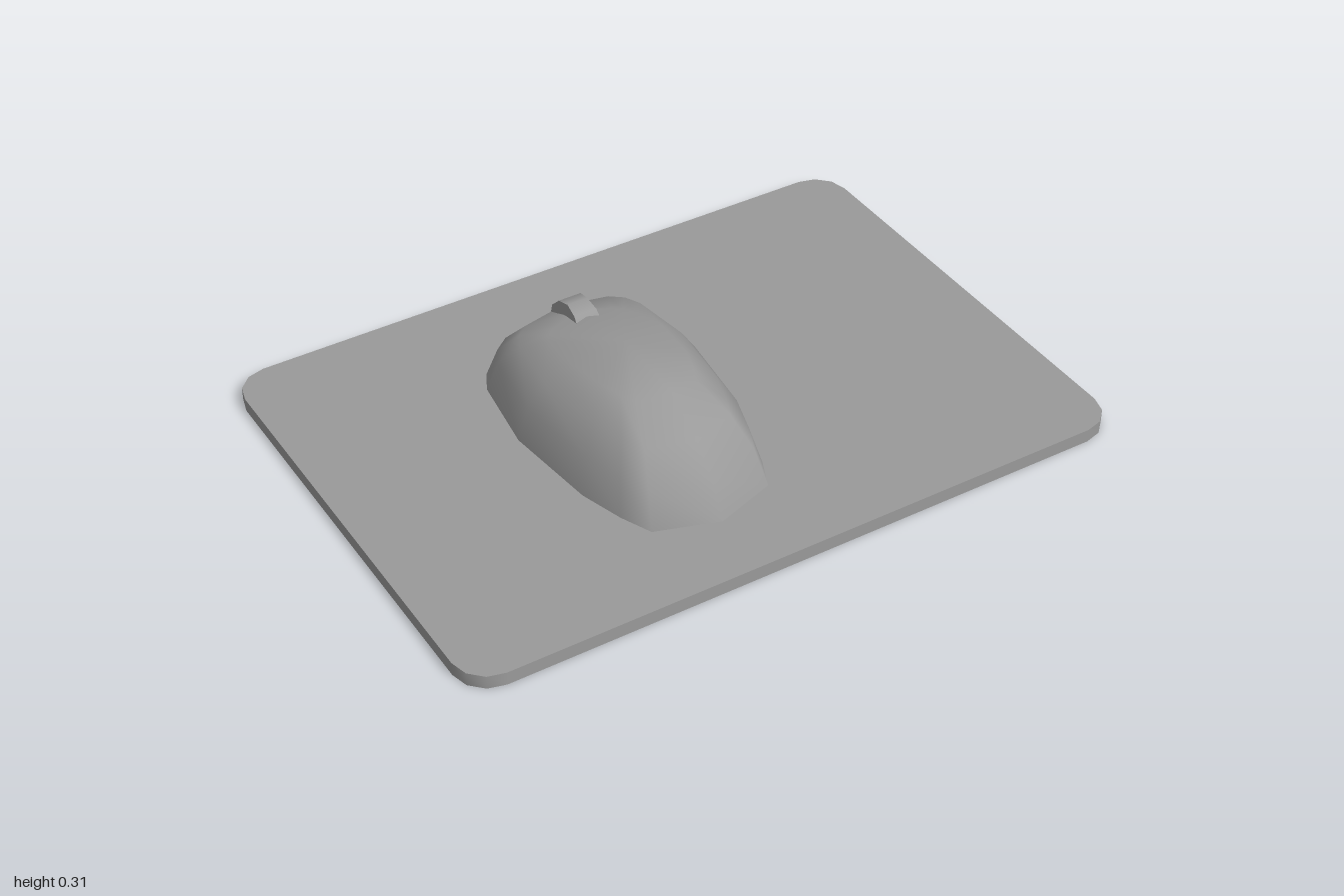
import * as THREE from 'three';

const grey = () => new THREE.MeshStandardMaterial({ color: 0x9a9a9a, side: THREE.DoubleSide });

function addMesh(parent, geometry, name) {
  const mesh = new THREE.Mesh(geometry, grey());
  mesh.name = name;
  parent.add(mesh);
  return mesh;
}

// Joins closed rings of points from bottom to top, ending in an optional tip
function loft(rings, tip) {
  const n = rings[0].length;
  const points = rings.flat();
  const index = [];
  for (let r = 0; r < rings.length - 1; r++) {
    for (let i = 0; i < n; i++) {
      const j = (i + 1) % n;
      const a = r * n + i, b = r * n + j, c = b + n, d = a + n;
      index.push(a, b, d, b, c, d);
    }
  }
  if (tip) {
    const last = (rings.length - 1) * n;
    for (let i = 0; i < n; i++) index.push(last + i, last + (i + 1) % n, points.length);
    points.push(tip);
  }
  const g = new THREE.BufferGeometry();
  g.setAttribute('position', new THREE.Float32BufferAttribute(points.flat(), 3));
  g.setIndex(index);
  g.computeVertexNormals();
  return g;
}

// Flat mat with rounded corners, open underneath
function createPad() {
  const pad = new THREE.Group();
  pad.name = 'mousePad';
  const w = 1, d = 0.71, r = 0.1, h = 0.04;
  const outline = [];
  for (const [sx, sz, start] of [[1, 1, 0], [1, -1, 1], [-1, -1, 2], [-1, 1, 3]]) {
    for (let k = 0; k <= 3; k++) {
      const a = (start + k / 3) * Math.PI / 2;
      outline.push([sx * (w - r) + r * Math.sin(a), sz * (d - r) + r * Math.cos(a)]);
    }
  }
  const top = new THREE.ShapeGeometry(new THREE.Shape(outline.map(([x, z]) => new THREE.Vector2(x, -z))));
  top.rotateX(-Math.PI / 2).translate(0, h, 0);
  addMesh(pad, top, 'padTop');
  addMesh(pad, loft([0, h].map(y => outline.map(([x, z]) => [x, y, z]))), 'padEdge');
  return pad;
}

function createMouse() {
  const mouse = new THREE.Group();
  mouse.name = 'mouse';
  mouse.position.x = -0.15;

  // Footprint: half given, other half mirrored
  const half = [[0, 0.51], [0.18, 0.45], [0.22, 0.36], [0.26, 0.23], [0.293, -0.06],
    [0.26, -0.30], [0.23, -0.36], [0.18, -0.40], [0, -0.44]];
  const foot = [...half, ...half.slice(1, -1).reverse().map(([x, z]) => [-x, z])];

  // Each level: half width, back z, front z, back y, front y, bulge mid-length, drop at the sides
  const levels = [
    [0.293, -0.44, 0.51, 0.04, 0.04, 0, 0],
    [0.265, -0.40, 0.46, 0.14, 0.14, 0, 0],
    [0.215, -0.33, 0.38, 0.21, 0.22, 0, 0],
    [0.15, -0.24, 0.26, 0.25, 0.30, 0.035, 0.034],
  ];
  const rings = levels.map(([w, z0, z1, y0, y1, bulge, drop]) => foot.map(([x, z]) => {
    const t = (z + 0.44) / 0.95, s = x / 0.293;
    const y = y0 + (y1 - y0) * t + bulge * Math.sin(Math.PI * t) - drop * Math.abs(s);
    return [s * w, y, z0 + (z1 - z0) * t];
  }));
  addMesh(mouse, loft(rings, [0, 0.31, 0.02]), 'mouseBody');

  // Scroll wheel sunk into the top, slightly narrower at its crown
  const r = 0.086;
  const wheel = new THREE.CylinderGeometry(r, r, 0.078, 12).rotateZ(Math.PI / 2);
  const p = wheel.attributes.position;
  for (let i = 0; i < p.count; i++) p.setX(i, p.getX(i) * (1 - 0.2 * (p.getY(i) / r) ** 4));
  addMesh(mouse, wheel, 'scrollWheel').position.set(0, 0.195, -0.24);
  return mouse;
}

export function createModel() {
  const model = new THREE.Group();
  model.name = 'mouseOnPad';
  model.add(createPad(), createMouse());
  return model;
}
